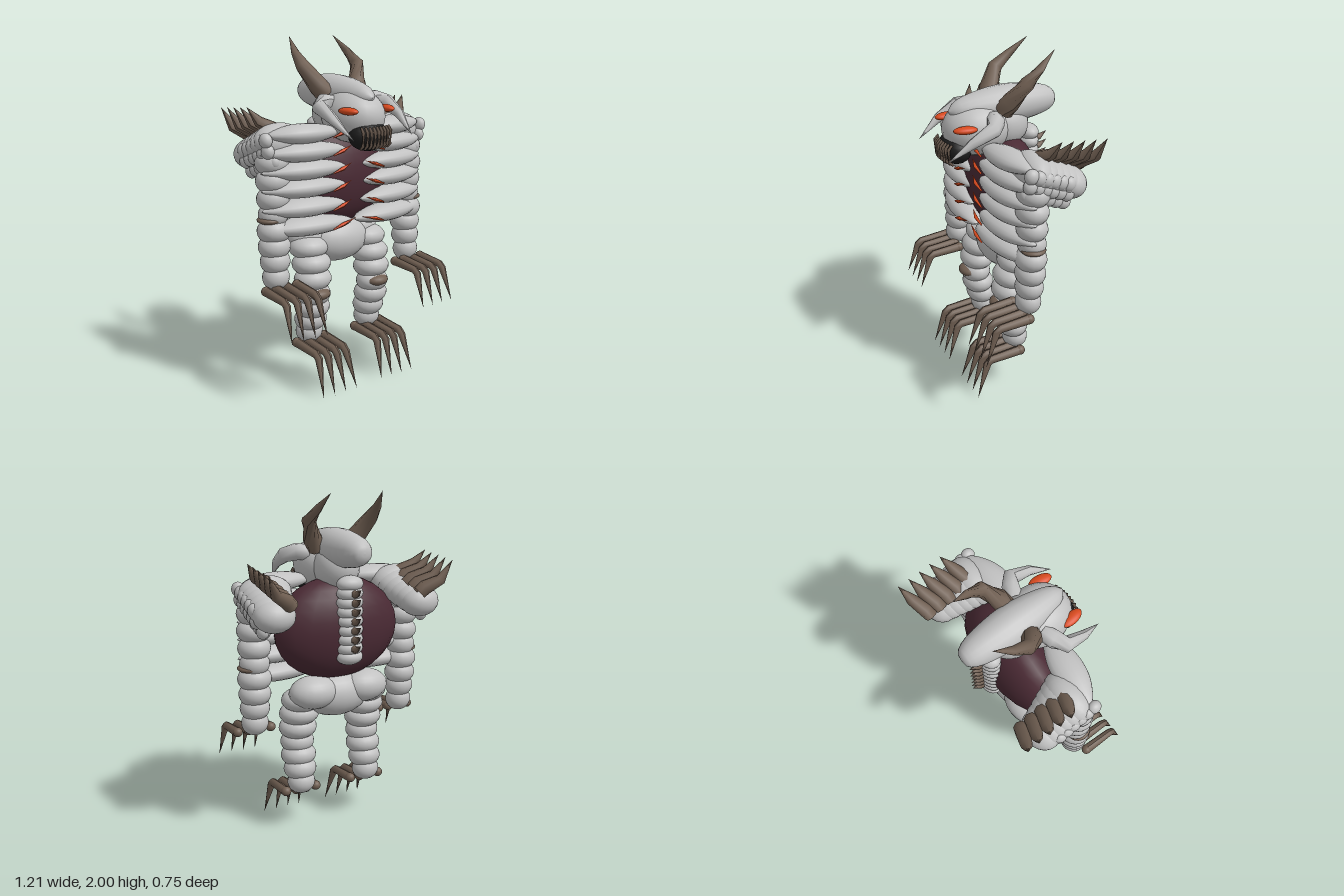
import * as THREE from 'three';

const mat = (name, color) => {
  const m = new THREE.MeshStandardMaterial({ color });
  m.name = name;
  return m;
};
const V = (p) => new THREE.Vector3(...p);

export function createModel() {
  const root = new THREE.Group();
  root.name = 'hornedBoneBeast';
  const bone = mat('bone', 0xc1c1c1);
  const horn = mat('horn', 0x705f52);
  const flesh = mat('flesh', 0x4a2a34);
  const ember = mat('ember', 0xd84a1e);
  const black = mat('mouthBlack', 0x1c1c1c);

  const add = (name, geo, material) => {
    const m = new THREE.Mesh(geo, material);
    m.name = name;
    root.add(m);
    return m;
  };
  const sphere = new THREE.SphereGeometry(1, 20, 14);
  const ball = (name, material, p, r) => {
    const m = add(name, sphere, material);
    m.position.set(...p);
    m.scale.set(...r);
    return m;
  };
  // Tapered limb through points, with one radius for each point
  const taper = (name, material, pts, radii, seg = 8) => {
    const n = pts.length;
    const geo = new THREE.CylinderGeometry(1, 1, 1, seg, n - 1, true);
    const pos = geo.attributes.position;
    const q = new THREE.Quaternion(), down = new THREE.Vector3(0, -1, 0), v = new THREE.Vector3();
    for (let j = 0; j < n; j++) {
      const dir = V(pts[Math.min(n - 1, j + 1)]).sub(V(pts[Math.max(0, j - 1)])).normalize();
      q.setFromUnitVectors(down, dir);
      for (let i = 0; i <= seg; i++) {
        const k = j * (seg + 1) + i;
        v.set(pos.getX(k) * radii[j], 0, pos.getZ(k) * radii[j]).applyQuaternion(q).add(V(pts[j]));
        pos.setXYZ(k, v.x, v.y, v.z);
      }
    }
    geo.computeVertexNormals();
    return add(name, geo, material);
  };
  const spindle = (profile) => new THREE.LatheGeometry(
    new THREE.SplineCurve(profile.map((p) => new THREE.Vector2(...p))).getPoints(18)
      .map((p) => new THREE.Vector2(Math.max(0, p.x), p.y)), 18);

  // Torso, pelvis and back of the head
  ball('torso', flesh, [0, 1.22, -0.05], [0.39, 0.3, 0.18]);
  ball('pelvis', bone, [0, 0.825, -0.045], [0.21, 0.135, 0.135]);
  ball('headBack', bone, [0, 1.57, -0.05], [0.13, 0.14, 0.15]);

  // Head: face, long crest and mouth
  ball('face', bone, [0, 1.57, 0.11], [0.17, 0.155, 0.2]);
  const crest = add('skullCrest', spindle([[0, -1], [0.45, -0.96], [0.78, -0.72], [0.98, -0.25],
    [0.98, 0.1], [0.8, 0.5], [0.48, 0.85], [0, 1]]), bone);
  crest.rotation.x = Math.PI / 2;
  crest.scale.set(0.112, 0.325, 0.11);
  crest.position.set(0, 1.68, -0.045);
  ball('mouth', black, [0, 1.47, 0.245], [0.125, 0.085, 0.09]);
  for (let i = -4; i <= 4; i++) {
    const x = i * 0.024, z = 0.337 - 1.8 * x * x;
    taper('upperTooth', horn, [[x, 1.525, z - 0.02], [x, 1.5, z], [x, 1.445, z]], [0.007, 0.01, 0.003], 6);
    taper('lowerTooth', horn, [[x, 1.405, z - 0.025], [x, 1.425, z - 0.005], [x, 1.47, z - 0.002]],
      [0.006, 0.009, 0.003], 6);
  }

  // Spine beads with backward spikes
  for (let i = 0; i < 9; i++) {
    const y = 1.08 + i * 0.052;
    ball('vertebra', bone, [0, y, -0.21], [0.08, 0.046, 0.06]);
    if (i > 0 && i < 8) {
      taper('spineSpike', horn, [[0, y, -0.24], [0, y + 0.005, -0.285], [0, y + 0.035, -0.335]],
        [0.026, 0.02, 0], 6);
    }
  }

  const rib = spindle([[0, -1], [0.5, -0.8], [0.88, -0.4], [1, 0], [0.88, 0.4], [0.45, 0.8], [0, 1]]);

  // Paired parts
  for (const s of [1, -1]) {
    const P = (x, y, z) => [s * x, y, z];

    const eye = ball('eye', ember, P(0.135, 1.612, 0.237), [0.034, 0.021, 0.068]);
    eye.rotation.y = -s * 0.15;
    taper('horn', horn, [P(0.1, 1.68, -0.01), P(0.138, 1.73, -0.03), P(0.195, 1.84, -0.1),
      P(0.185, 1.91, -0.185), P(0.157, 2, -0.285)], [0.055, 0.055, 0.041, 0.023, 0], 10);
    taper('tusk', bone, [P(0.12, 1.645, 0.06), P(0.185, 1.65, 0.08), P(0.24, 1.63, 0.12),
      P(0.235, 1.57, 0.24), P(0.205, 1.47, 0.375)], [0.045, 0.05, 0.045, 0.028, 0], 8);

    // Ribs and ember splinters at their inner ends
    [1.49, 1.39, 1.29, 1.19, 1.08, 0.97].forEach((y, i) => {
      const low = i === 5, inner = low ? 0 : i === 0 ? 0.09 : 0.05;
      const outer = i === 0 ? 0.55 : 0.58;
      const m = add('rib', rib, bone);
      m.position.set(s * (inner + outer) / 2, y, 0.075);
      m.rotation.set(0, s * 0.14, -s * Math.PI / 2);
      m.scale.set(0.056, (outer - inner) / 2, 0.09);
      const tip = low ? 0.015 : 0.05;
      taper('emberSplinter', ember, [P(0.185, y - 0.025, 0.168), P(0.12, y - 0.002, 0.174), P(tip, y + 0.022, 0.16)],
        [0.004, 0.011, 0], 6);
    });

    // Shoulder plates, stacked backward, with scales outside and a row of spikes
    for (let i = 0; i < 6; i++) {
      const t = i / 5;
      const plate = ball('shoulderPlate', bone, P(0.425 + 0.035 * t, 1.445 - 0.085 * t, -0.01 - 0.2 * t),
        [0.16 - 0.04 * t, 0.105 - 0.015 * t, 0.1]);
      plate.rotation.x = -0.4;
      for (let k = 0; k < 3; k++) {
        const scale = ball('shoulderScale', bone,
          P(0.555 - 0.012 * k * k, 1.47 - 0.06 * k - 0.08 * t, 0.06 - 0.22 * t), [0.035, 0.042, 0.04]);
        scale.rotation.x = -0.4;
      }
    }
    for (let i = 0; i < 5; i++) {
      const z = -0.03 - i * 0.068, y = 1.51 - i * 0.014;
      taper('shoulderSpike', horn, [P(0.4, y - 0.03, z), P(0.43, y, z - 0.01), P(0.51, y + 0.045, z - 0.045),
        P(0.565, 1.635 - i * 0.006, z - 0.078)], [0.04, 0.042, 0.032, 0], 8);
    }

    // Arm beads: y, z, radius
    [[1.34, 0.01, 0.1], [1.24, 0.015, 0.1], [1.14, 0.015, 0.096], [1.05, 0.015, 0.088], [0.96, 0.02, 0.1],
      [0.87, 0.02, 0.095], [0.785, 0.025, 0.088], [0.695, 0.03, 0.08]].forEach(([y, z, r]) =>
      ball('armSegment', bone, P(0.485, y, z), [r, 0.074, r * 0.9]));
    ball('elbowPatch', horn, P(0.517, 1.025, 0.02), [0.068, 0.024, 0.07]);

    // Leg beads: x, y, z, radius
    ball('hip', bone, P(0.165, 0.86, -0.085), [0.15, 0.098, 0.11]);
    [[0.215, 0.81, -0.03, 0.122], [0.218, 0.72, 0, 0.12], [0.22, 0.63, 0.015, 0.115], [0.22, 0.54, 0.025, 0.102],
      [0.22, 0.46, 0.01, 0.107], [0.22, 0.38, -0.01, 0.1], [0.22, 0.3, -0.025, 0.084]]
      .forEach(([x, y, z, r]) => ball('legSegment', bone, P(x, y, z), [r, 0.072, r * 0.88]));
    ball('kneePatch', horn, P(0.22, 0.55, 0.07), [0.074, 0.036, 0.062]);

    // Four claws on each hand and foot
    for (let i = 0; i < 4; i++) {
      const hx = 0.37 + i * 0.069, hTip = 0.36 + i * 0.078;
      ball('fingerKnuckle', horn, P(hx, 0.637, 0.07), [0.029, 0.028, 0.029]);
      taper('fingerClaw', horn, [P(hx, 0.637, 0.07), P(hx, 0.624, 0.245), P(hx, 0.605, 0.27),
        P(hTip, 0.41, 0.34)], [0.028, 0.023, 0.022, 0]);
      const fx = 0.12 + i * 0.065, fTip = 0.095 + i * 0.08;
      ball('toeKnuckle', horn, P(fx, 0.247, -0.015), [0.03, 0.029, 0.03]);
      taper('toeClaw', horn, [P(fx, 0.247, -0.015), P(fx, 0.234, 0.175), P(fx, 0.212, 0.2),
        P(fTip, 0, 0.272)], [0.028, 0.024, 0.023, 0]);
    }
  }
  return root;
}
